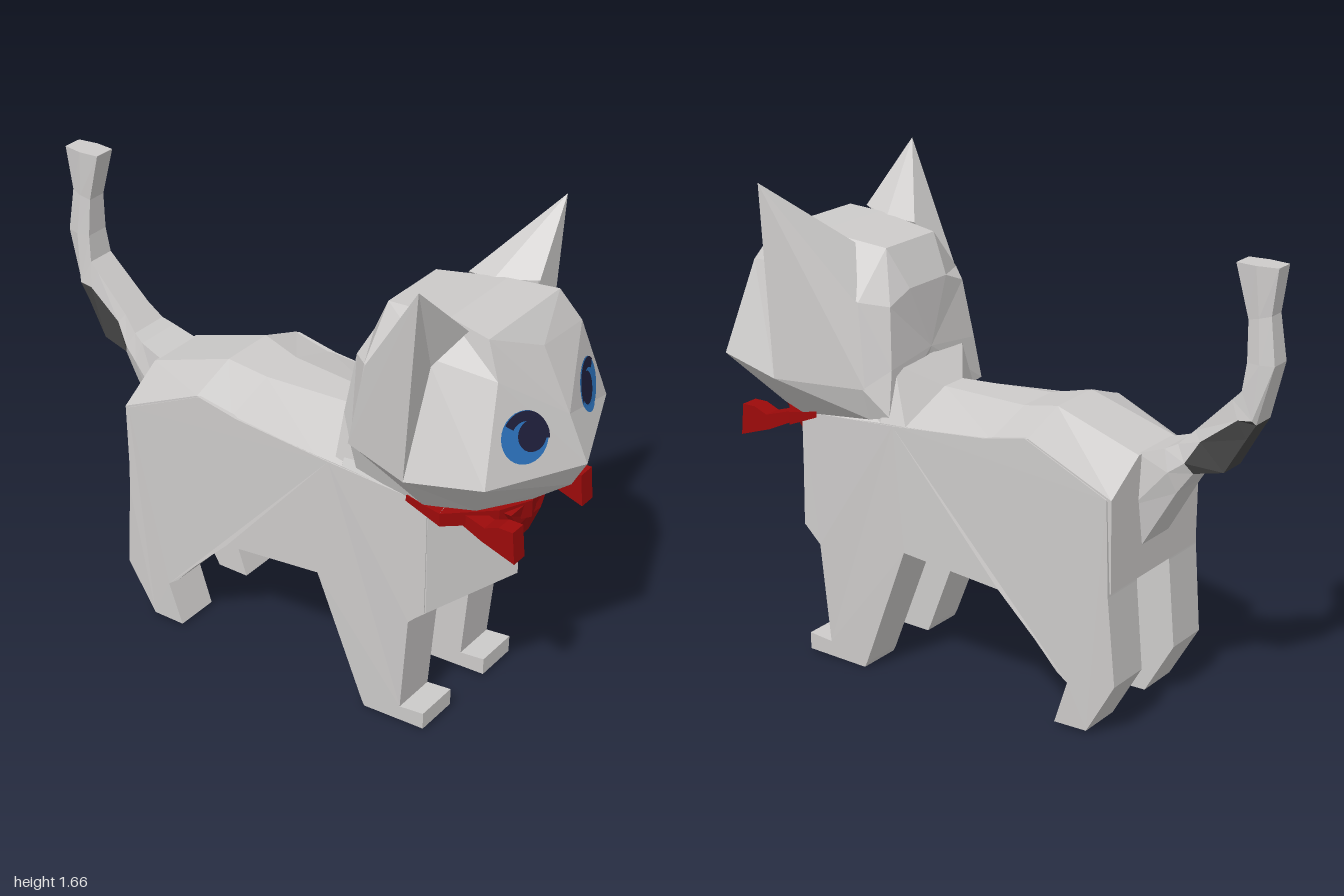
import * as THREE from 'three';

const mat = (name, color) => {
  const m = new THREE.MeshStandardMaterial({ color, side: THREE.DoubleSide, flatShading: true });
  m.name = name;
  return m;
};

// Flat-shaded geometry from triangles; each list in groups gets its own material slot
function fromTriangles(groups) {
  const g = new THREE.BufferGeometry(), pos = [];
  groups.forEach((tris, slot) => {
    const start = pos.length / 3;
    for (const [a, b, c] of tris) {
      const t = new THREE.Triangle(...[a, b, c].map(p => new THREE.Vector3(...p)));
      if (t.getArea() > 1e-7) pos.push(...a, ...b, ...c);
    }
    g.addGroup(start, pos.length / 3 - start, slot);
  });
  g.setAttribute('position', new THREE.Float32BufferAttribute(pos, 3));
  g.computeVertexNormals();
  return g;
}

// Mirrored loft: every half section runs top to bottom on +z; sections advance towards +x
function loft(halves, slotOf = () => 0) {
  const rings = halves.map(h => [...h, ...h.map(([x, y, z]) => [x, y, -z]).reverse()]);
  const groups = [[], []], n = rings[0].length;
  for (let i = 0; i < rings.length - 1; i++) {
    for (let j = 0; j < n; j++) {
      const k = (j + 1) % n, [r, s] = [rings[i], rings[i + 1]];
      groups[slotOf(i, j)].push([r[j], r[k], s[k]], [r[j], s[k], s[j]]);
    }
  }
  [rings[0], rings.at(-1)].forEach((r, end) => {
    const c = [0, 1, 2].map(a => r.reduce((sum, p) => sum + p[a], 0) / n);
    r.forEach((p, j) => groups[0].push(end ? [c, p, r[(j + 1) % n]] : [c, r[(j + 1) % n], p]));
  });
  return fromTriangles(groups);
}

// Side silhouette extruded between z0 and z1
function slab(points, z0, z1) {
  const shape = new THREE.Shape(points.map(p => new THREE.Vector2(...p)));
  return new THREE.ExtrudeGeometry(shape, { depth: z1 - z0, bevelEnabled: false }).translate(0, 0, z0);
}

export function createModel() {
  const model = new THREE.Group();
  model.name = 'cat';
  const fur = mat('grey fur', 0xcdcbca);
  const dark = mat('dark patch', 0x464646);
  const red = mat('red scarf', 0x9c0a0a);
  const blue = mat('blue iris', 0x2d74bf);
  const navy = mat('navy pupil', 0x1f1f3c);
  const add = (name, geometry, material) => {
    const m = new THREE.Mesh(geometry, material);
    m.name = name;
    model.add(m);
    return m;
  };

  // Torso: x, ridge y, ridge half width, shoulder y, flank bottom y, belly y
  const torso = [
    [-0.585, 0.91, 0.11, 0.81, 0.50, 0.50],
    [-0.28, 1.01, 0.10, 0.95, 0.45, 0.42],
    [-0.14, 0.98, 0.08, 0.92, 0.42, 0.37],
    [0.19, 0.975, 0.05, 0.895, 0.46, 0.37],
    [0.29, 1.07, 0.19, 0.89, 0.44, 0.37],
    [0.55, 0.95, 0.10, 0.87, 0.41, 0.40],
  ].map(([x, ry, rw, sy, fy, by]) => [[x, ry, rw], [x, sy, 0.269], [x, fy, 0.262], [x, by, 0.09]]);
  torso.push(
    [[0.62, 0.88, 0.1], [0.61, 0.87, 0.27], [0.615, 0.47, 0.27], [0.62, 0.43, 0.08]],
    [[0.70, 0.88, 0], [0.775, 0.82, 0], [0.78, 0.54, 0], [0.68, 0.47, 0]]);
  add('torso', loft(torso), fur);

  // Flat flanks running down into the legs and paws, tapering towards the ground
  const flank = [
    [-0.57, 0.81], [-0.58, 0.49], [-0.605, 0.19], [-0.50, 0.01], [-0.38, 0.01], [-0.39, 0.04],
    [-0.43, 0.16], [-0.39, 0.19], [-0.31, 0.28], [-0.17, 0.42], [0.20, 0.46], [0.37, 0.02], [0.38, 0],
    [0.61, 0.01], [0.61, 0.07], [0.52, 0.06], [0.55, 0.41], [0.61, 0.47], [0.61, 0.87],
    [0.24, 0.89], [-0.12, 0.92], [-0.27, 0.95],
  ];
  for (const s of [1, -1]) {
    const geometry = s > 0 ? slab(flank, 0.1, 0.273) : slab(flank, -0.273, -0.1);
    const p = geometry.attributes.position;
    for (let i = 0; i < p.count; i++) {
      const down = 1 - Math.min(1, p.getY(i) / 0.45);
      if (Math.abs(p.getZ(i)) > 0.2) p.setZ(i, p.getZ(i) - s * 0.012 * down);
    }
    geometry.computeVertexNormals();
    add(s > 0 ? 'leftFlankAndLegs' : 'rightFlankAndLegs', geometry, fur);
  }

  // Tail from tip to rump: upper x, y, lower x, y, half width, height of the side edge
  const tail = [
    [-0.86, 1.55, -1.00, 1.55, 0.045, 0.5],
    [-0.905, 1.38, -0.98, 1.40, 0.04, 0.5],
    [-0.91, 1.25, -1.00, 1.25, 0.05, 0.5],
    [-0.90, 1.16, -0.95, 1.06, 0.06, 0.85],
    [-0.87, 1.13, -0.92, 1.01, 0.062, 0.5],
    [-0.75, 1.01, -0.85, 0.89, 0.07, 0.25],
    [-0.70, 0.96, -0.75, 0.87, 0.085, 0.6],
    [-0.66, 0.94, -0.70, 0.80, 0.10, 0.5],
    [-0.57, 0.91, -0.57, 0.58, 0.11, 0.5],
  ].map(([ux, uy, lx, ly, w, t]) => [
    [ux, uy, w * 0.85], [ux + (lx - ux) * t, uy + (ly - uy) * t, w], [lx, ly, w * 0.75]]);
  const patch = (i, j) => (i >= 3 && i <= 5 && j >= 1 && j <= 3 ? 1 : 0);
  add('tail', loft(tail, patch), [fur, dark]);

  // Head from the nape to the central ridge of the face
  const head = add('head', loft([
    [[0.29, 1.30, 0.10], [0.295, 1.26, 0.20], [0.27, 1.06, 0.23], [0.26, 0.91, 0.26], [0.28, 0.89, 0.1]],
    [[0.36, 1.43, 0.13], [0.37, 1.28, 0.27], [0.34, 1.00, 0.295], [0.34, 0.89, 0.26], [0.42, 0.88, 0.1]],
    [[0.60, 1.46, 0.16], [0.60, 1.38, 0.28], [0.61, 1.02, 0.41], [0.60, 0.87, 0.28], [0.60, 0.86, 0.1]],
    [[0.76, 1.455, 0.20], [0.82, 1.35, 0.24], [0.86, 1.05, 0.355], [0.74, 0.86, 0.20], [0.78, 0.84, 0.08]],
    [[0.83, 1.37, 0], [0.93, 1.17, 0], [1.00, 1.02, 0], [0.95, 0.93, 0], [0.82, 0.83, 0]],
  ]), fur);

  // Ears: fans from the tip, hollowed at the front, running down to the cheek and the back of the head
  const tip = [0.65, 1.66, 0.41];
  const base = [[0.56, 1.45, 0.14], [0.69, 1.46, 0.20], [0.62, 1.36, 0.29], [0.61, 1.02, 0.41],
    [0.33, 1.00, 0.295], [0.37, 1.27, 0.27], [0.46, 1.44, 0.16]];
  for (const s of [1, -1]) {
    const side = ([x, y, z]) => [x, y, z * s];
    const tris = base.map((p, i) => {
      const t = [tip, p, base[(i + 1) % base.length]].map(side);
      return s > 0 ? t.reverse() : t;
    });
    add(s > 0 ? 'leftEar' : 'rightEar', fromTriangles([tris]), fur);
  }

  // Eyes: thin discs laid onto the face; u runs towards the nose
  const ray = new THREE.Raycaster();
  head.updateMatrixWorld(true);
  function eyePart(name, geometry, material, s, u0, lift) {
    const p = geometry.attributes.position;
    for (let i = 0; i < p.count; i++) {
      const y = 1.168 + p.getY(i), z = s * (0.193 - u0 - p.getX(i));
      ray.set(new THREE.Vector3(2, y, z), new THREE.Vector3(-1, 0, 0));
      const hit = ray.intersectObject(head)[0];
      p.setXYZ(i, (hit ? hit.point.x : 0.88) + lift, y, z);
    }
    geometry.computeVertexNormals();
    add(name, geometry, material);
  }
  for (const s of [1, -1]) {
    eyePart('iris', new THREE.RingGeometry(0, 0.081, 28, 5), blue, s, 0, 0.004);
    eyePart('pupil', new THREE.RingGeometry(0, 0.049, 24, 4), navy, s, 0.022, 0.008);
    eyePart('upperLid', new THREE.RingGeometry(0.05, 0.081, 18, 3, -0.3, 2.7), navy, s, 0, 0.008);
  }

  // Scarf band around the throat
  const band = [[0.54, 0.885, 0.285], [0.66, 0.86, 0.28], [0.78, 0.84, 0.13], [0.82, 0.825, 0],
    [0.78, 0.84, -0.13], [0.66, 0.86, -0.28], [0.54, 0.885, -0.285]];
  const drop = [0.02, 0.045, 0.05, 0.06, 0.05, 0.045, 0.02];
  const scarf = [];
  for (let i = 0; i < band.length - 1; i++) {
    const [a, b] = [band[i], band[i + 1]];
    const [c, d] = [[b[0], b[1] - drop[i + 1], b[2]], [a[0], a[1] - drop[i], a[2]]];
    scarf.push([a, d, c], [a, c, b], [[0.6, a[1], 0], a, b]);
  }
  add('scarfBand', fromTriangles([scarf]), red);

  // Hanging flap and the two knotted ends
  add('scarfFlap', loft([
    [[0.74, 0.83, 0.12], [0.75, 0.76, 0.075], [0.76, 0.70, 0.035]],
    [[0.81, 0.82, 0.11], [0.81, 0.76, 0.07], [0.79, 0.69, 0.035]],
  ]), red);
  const end = [[0.62, 0.87], [0.78, 0.82], [0.83, 0.84], [0.88, 0.84], [0.89, 0.73],
    [0.83, 0.75], [0.77, 0.77], [0.64, 0.83]];
  add('leftScarfEnd', slab(end, 0.155, 0.215), red);
  add('rightScarfEnd', slab(end, -0.255, -0.19), red);

  return model;
}
